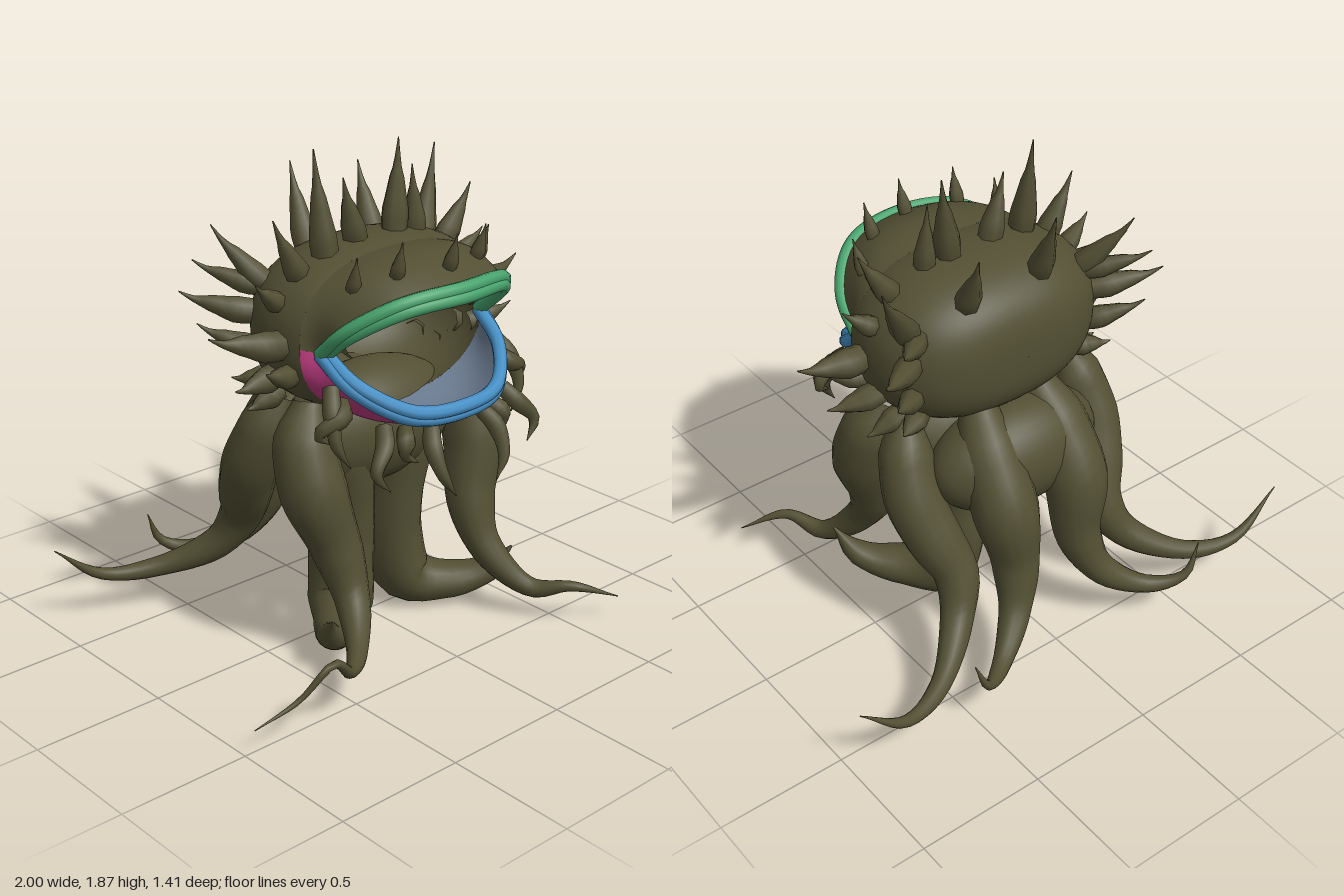
import * as THREE from 'three';
import { mergeVertices } from 'three/addons/utils/BufferGeometryUtils.js';
import { ParametricGeometry } from 'three/addons/geometries/ParametricGeometry.js';

const PI = Math.PI;
const paint = (name, color, side = THREE.FrontSide) => {
  const m = new THREE.MeshStandardMaterial({ color, side });
  m.name = name;
  return m;
};
const V = (p) => new THREE.Vector3(...p);
const flip = (p, s) => [p[0] * s, p[1], p[2]];
const signedPow = (v, e) => Math.sign(v) * Math.abs(v) ** e;

// Tapering tube through points [x, y, z, radius]; depth widens it along z
function taper(points, segments, sides, depth = 1) {
  const curve = new THREE.CatmullRomCurve3(points.map((p) => V(p.slice(0, 3))));
  const geo = new THREE.TubeGeometry(curve, segments, 1, sides);
  const pos = geo.attributes.position;
  const v = new THREE.Vector3();
  for (let i = 0; i <= segments; i++) {
    const u = i / segments;
    const centre = curve.getPointAt(u);
    const t = curve.getUtoTmapping(u) * (points.length - 1);
    const k = Math.min(Math.floor(t), points.length - 2);
    const f = THREE.MathUtils.smoothstep(t - k, 0, 1) * 0.5 + (t - k) * 0.5;
    const r = THREE.MathUtils.lerp(points[k][3], points[k + 1][3], f);
    for (let j = 0; j <= sides; j++) {
      const n = i * (sides + 1) + j;
      v.fromBufferAttribute(pos, n).sub(centre).multiplyScalar(r);
      v.z *= depth;
      v.add(centre);
      pos.setXYZ(n, v.x, v.y, v.z);
    }
  }
  geo.deleteAttribute('uv');
  geo.deleteAttribute('normal');
  const smooth = mergeVertices(geo, 1e-5);
  smooth.computeVertexNormals();
  return smooth;
}

// Thorn with a fat base and a thin hooked tip
function thorn(base, tip, r) {
  const a = V(base), b = V(tip);
  const at = (t, lift) => {
    const p = a.clone().lerp(b, t);
    return [p.x, p.y + lift, p.z];
  };
  const bend = a.distanceTo(b) * 0.05;
  return taper([[...at(-0.06, 0), r * 0.9], [...at(0.25, -bend), r],
    [...at(0.55, -bend), r * 0.65], [...at(0.8, -bend), r * 0.24], [...at(1, 0), 0.002]], 10, 7);
}

// Mouth rim: half of each lip, from the corner to the middle
const lipCurve = (half) => new THREE.CatmullRomCurve3(
  [...half, ...half.slice(0, -1).reverse().map((p) => flip(p, -1))].map(V));
const upperRim = lipCurve([[0.39, 1.2, 0.19], [0.375, 1.31, 0.31], [0.24, 1.41, 0.44], [0, 1.432, 0.495]]);
const lowerRim = lipCurve([[0.39, 1.2, 0.19], [0.36, 1.1, 0.32], [0.21, 0.995, 0.46], [0, 0.975, 0.5]]);
const rim = (a) => {
  const p = a <= PI ? upperRim.getPoint(a / PI)
    : lowerRim.getPoint(THREE.MathUtils.clamp(2 - a / PI, 0, 1));
  return [p.x, p.y, p.z];
};

// Head: rounded cranium sections, with jaws drawn out to the rim
const section = (a, s) => [0.475 * s * signedPow(Math.cos(a), 0.8),
  1.22 + 0.31 * s * signedPow(Math.sin(a), 0.85)];
const endPhi = 1.99;
const headZ = (phi) => 0.02 - 0.32 * Math.cos(phi);
const headScale = (phi) => Math.sin(phi) ** 0.65;
function cranium(u, v, target) {
  const phi = 0.0001 + v * (endPhi - 0.0001);
  const [x, y] = section(u * PI * 2, headScale(phi));
  target.set(x, y, headZ(phi));
}
const jaw = (a0, a1) => (u, v, target) => {
  const a = a0 + (a1 - a0) * u;
  const [x, y] = section(a, headScale(endPhi));
  const z = headZ(endPhi);
  const lip = rim(a);
  const bulge = Math.sin(v * PI);
  target.set((x + (lip[0] - x) * v) * (1 - 0.02 * bulge),
    y + (lip[1] - y) * v + 0.04 * bulge * Math.sin(a), z + (lip[2] - z) * v);
};

export function createModel() {
  const group = new THREE.Group();
  const skin = paint('olive skin', 0x524f33);
  const skinShell = paint('olive shell', 0x524f33, THREE.DoubleSide);
  const green = paint('green lip', 0x48a56e);
  const blue = paint('blue lip', 0x4690c6);
  const grey = paint('grey blue jaw', 0x6b7b90, THREE.DoubleSide);
  const magenta = paint('magenta jaw', 0xb83a7c, THREE.DoubleSide);
  const add = (name, geo, mat) => {
    const m = new THREE.Mesh(geo, mat);
    m.name = name;
    group.add(m);
    return m;
  };

  // Hollow head
  add('cranium', new ParametricGeometry(cranium, 48, 24), skinShell);
  add('upperJaw', new ParametricGeometry(jaw(0, PI), 36, 8), skinShell);
  add('lowerJawRight', new ParametricGeometry(jaw(PI + 1e-4, PI * 1.5), 18, 8), magenta);
  add('lowerJawLeft', new ParametricGeometry(jaw(PI * 1.5, PI * 2), 18, 8), grey);

  // Each lip is a pair of strands along the rim
  for (const [name, curve, mat, down] of [['upperLip', upperRim, green, 1], ['lowerLip', lowerRim, blue, -1]]) {
    for (const inner of [0, 1]) {
      const pts = curve.getPoints(18).map((p, i) => [p.x * (1 - 0.04 * inner),
        p.y - 0.028 * inner * down * Math.sin((PI * i) / 18), p.z + 0.01 * inner, 0.026]);
      add(name, taper(pts, 48, 8), mat);
    }
  }

  // Webs joining the tentacles
  for (const [name, size, at] of [['bodyWeb', [0.4, 0.24, 0.2], [0, 0.8, 0]],
    ['backWeb', [0.36, 0.22, 0.2], [0, 0.77, -0.22]]]) {
    const web = add(name, new THREE.SphereGeometry(1, 32, 20), skin);
    web.scale.set(...size);
    web.position.set(...at);
  }

  // Tentacles, mirrored
  const limbs = {
    outerBackTentacle: [[0.36, 0.98, -0.06, 0.05], [0.4, 0.86, -0.1, 0.1], [0.42, 0.7, -0.17, 0.11],
      [0.39, 0.55, -0.25, 0.105], [0.35, 0.41, -0.33, 0.085], [0.41, 0.27, -0.41, 0.062], [0.6, 0.17, -0.56, 0.038],
      [0.8, 0.18, -0.635, 0.023], [1, 0.34, -0.64, 0.002]],
    innerBackTentacle: [[0.13, 1.0, -0.17, 0.07], [0.155, 0.85, -0.27, 0.12], [0.165, 0.66, -0.385, 0.125],
      [0.15, 0.42, -0.43, 0.09], [0.21, 0.25, -0.5, 0.06], [0.36, 0.16, -0.61, 0.035],
      [0.48, 0.2, -0.69, 0.018], [0.54, 0.33, -0.69, 0.002]],
  };
  const centreLeg = [[0.2, 0.93, 0, 0.1], [0.16, 0.72, 0, 0.125], [0.125, 0.48, 0, 0.105], [0.125, 0.3, -0.01, 0.11],
    [0.165, 0.115, 0.03, 0.11], [0.28, 0.085, 0.14, 0.075], [0.4, 0.13, 0.25, 0.05], [0.46, 0.24, 0.33, 0.003]];
  const frontTop = [[0.35, 0.98, 0.08, 0.06], [0.4, 0.85, 0.11, 0.115], [0.405, 0.68, 0.165, 0.125],
    [0.34, 0.45, 0.215, 0.095], [0.34, 0.27, 0.3, 0.065]];
  const frontEnds = {
    1: [[0.43, 0.12, 0.46, 0.038], [0.51, 0.15, 0.6, 0.02], [0.67, 0.09, 0.7, 0.002]],
    [-1]: [[0.46, 0.17, 0.46, 0.038], [0.58, 0.18, 0.56, 0.022], [0.7, 0.28, 0.61, 0.014],
      [0.81, 0.16, 0.56, 0.01], [0.98, 0.1, 0.53, 0.002]],
  };
  for (const s of [1, -1]) {
    const side = s > 0 ? 'Left' : 'Right';
    const mirror = (pts) => pts.map((p) => [...flip(p, s), p[3]]);
    for (const [name, pts] of Object.entries(limbs)) add(name + side, taper(mirror(pts), 36, 14), skin);
    add('centreLeg' + side, taper(mirror(centreLeg), 36, 16, 1.32), skin);
    add('frontTentacle' + side, taper(mirror([...frontTop, ...frontEnds[s]]), 40, 14), skin);
  }

  // Crown thorns: base, tip, radius
  const crown = [
    [[-0.23, 1.47, 0.04], [-0.25, 1.87, 0], 0.052], [[-0.08, 1.51, 0.03], [-0.15, 1.76, 0.04], 0.048],
    [[0.1, 1.51, 0.03], [0.15, 1.85, 0], 0.052], [[0.2, 1.49, 0.04], [0.19, 1.75, 0.03], 0.042],
    [[-0.14, 1.45, -0.17], [-0.11, 1.75, -0.3], 0.048], [[0.18, 1.44, -0.17], [0.22, 1.7, -0.3], 0.048],
    [[-0.33, 1.42, 0.03], [-0.46, 1.66, 0.03], 0.047], [[0.33, 1.43, 0.04], [0.47, 1.64, 0.05], 0.047],
    [[0.37, 1.37, -0.11], [0.6, 1.71, -0.28], 0.05], [[-0.35, 1.37, -0.13], [-0.5, 1.59, -0.27], 0.047],
  ];
  for (const [a, b, r] of crown) add('crownThorn', thorn(a, b, r), skin);

  // Side thorns, mirrored
  const sides = [
    [[0.45, 1.22, 0.06], [0.75, 1.3, 0.03], 0.058], [[0.44, 1.11, 0.09], [0.6, 1.17, 0.15], 0.045],
    [[0.44, 1.09, 0], [0.64, 1.08, 0.03], 0.05], [[0.39, 1, -0.05], [0.53, 0.96, -0.05], 0.045],
    [[0.4, 1.28, -0.15], [0.62, 1.36, -0.31], 0.05], [[0.36, 1.03, -0.13], [0.48, 1.03, -0.2], 0.045],
    [[0.42, 1.35, 0.02], [0.55, 1.45, 0.04], 0.04], [[0.37, 1.37, -0.15], [0.55, 1.46, -0.32], 0.042],
    [[0.39, 1.14, -0.15], [0.56, 1.23, -0.29], 0.045],
  ];
  for (const s of [1, -1])
    for (const [a, b, r] of sides) add('sideThorn', thorn(flip(a, s), flip(b, s), r), skin);

  // Small thorns on the upper jaw
  for (const [x, y, z] of [[-0.3, 1.43, 0.26], [-0.18, 1.48, 0.35], [0.02, 1.48, 0.4], [0.2, 1.47, 0.35], [0.32, 1.42, 0.24]])
    add('browThorn', thorn([x, y, z], [x * 1.05, y + 0.13, z + 0.04], 0.028), skin);

  // Curved barbels hanging from the lower jaw
  const barbels = [[0.12, 0.95, 0.47, 0.12, 0.71, 0.58], [0.29, 0.97, 0.41, 0.36, 0.77, 0.5],
    [0.2, 0.94, 0.42, 0.21, 0.83, 0.48], [0.4, 1.1, 0.26, 0.42, 0.83, 0.36], [0.38, 1.05, 0.29, 0.47, 0.92, 0.32]];
  for (const s of [1, -1])
    for (const [x, y, z, tx, ty, tz] of barbels)
      add('barbel', taper([[x * s, y, z, 0.03], [(x + 0.035) * s, y * 0.75 + ty * 0.25, z + 0.045, 0.035],
        [(tx + 0.03) * s, y * 0.35 + ty * 0.65, tz - 0.015, 0.022], [(tx - 0.02) * s, ty, tz, 0.002]], 12, 7), skin);

  return group;
}
